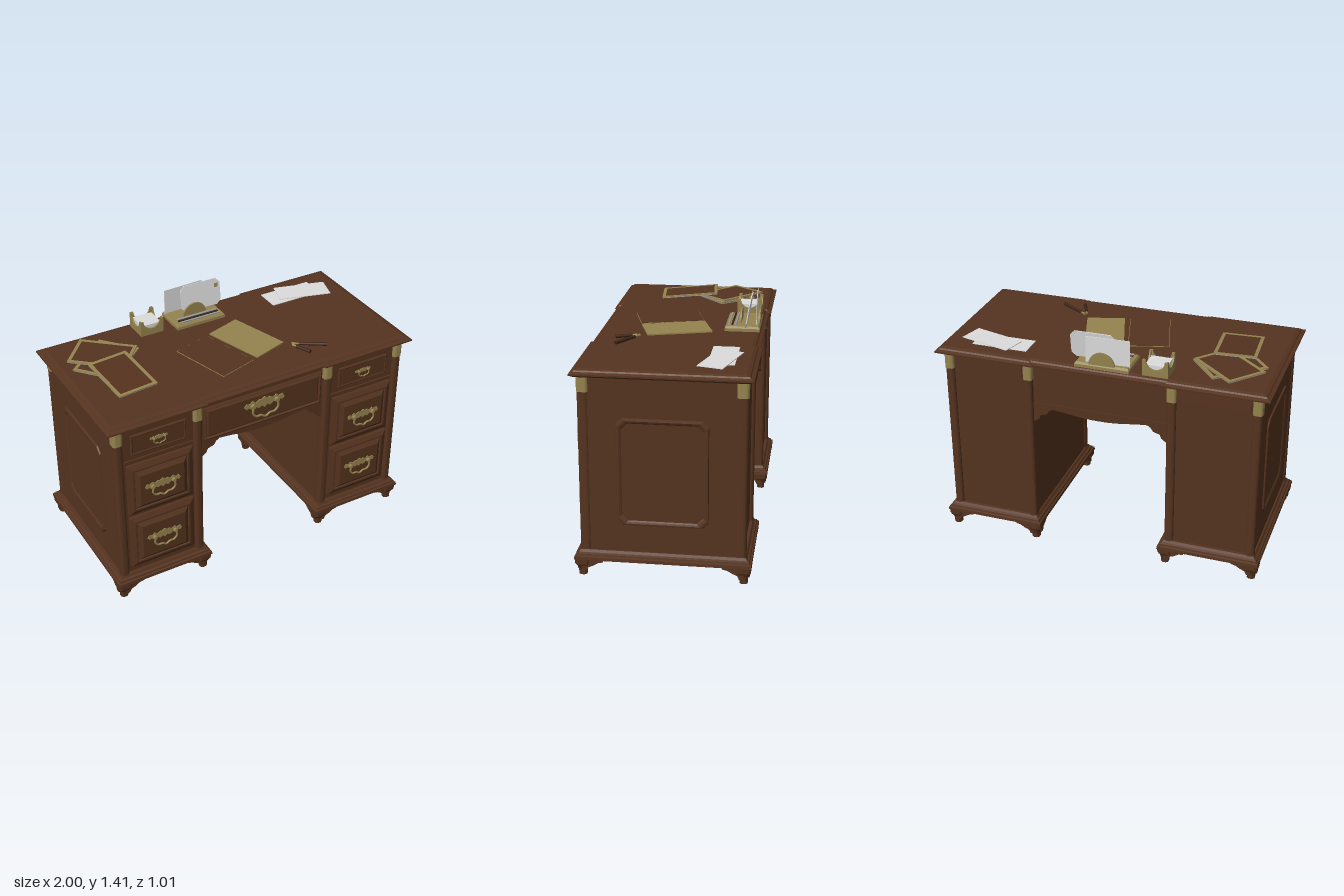
import * as THREE from 'three';

const mat = (name, color) => Object.assign(new THREE.MeshStandardMaterial({ color }), { name });

// Counter-clockwise rectangle in x/z, corners rounded by n steps (n = 1 chamfers), shrunk by d
const rect = (hx, hz, r = 0, n = 1) => d => {
  const pts = [];
  [[1, -1, -Math.PI / 2], [1, 1, 0], [-1, 1, Math.PI / 2], [-1, -1, Math.PI]].forEach(([sx, sz, a0]) => {
    const cx = sx * (hx - d - r), cz = sz * (hz - d - r);
    if (!r) { pts.push([cx, cz]); return; }
    for (let i = 0; i <= n; i++) {
      const a = a0 + (i / n) * Math.PI / 2;
      pts.push([cx + r * Math.cos(a), cz + r * Math.sin(a)]);
    }
  });
  return pts;
};

// Stacks an outline through levels of [height, inset] and closes both ends
function loft(outline, levels) {
  const rings = levels.map(([y, d]) => outline(d).map(([x, z]) => new THREE.Vector3(x, y, z)));
  const v = [], n = rings[0].length;
  for (let k = 0; k + 1 < rings.length; k++) {
    const a = rings[k], b = rings[k + 1];
    for (let i = 0; i < n; i++) {
      const j = (i + 1) % n;
      v.push(a[i], b[i], a[j], a[j], b[i], b[j]);
    }
  }
  const cap = (ring, flip) => {
    const flat = ring.map(p => new THREE.Vector2(p.x, p.z));
    for (const [a, b, c] of THREE.ShapeUtils.triangulateShape(flat, []))
      v.push(ring[a], ring[flip ? c : b], ring[flip ? b : c]);
  };
  cap(rings[0], false);
  cap(rings[rings.length - 1], true);
  const g = new THREE.BufferGeometry().setFromPoints(v);
  g.computeVertexNormals();
  return g;
}

const shapeOf = pts => new THREE.Shape(pts.map(p => new THREE.Vector2(p[0], p[1])));
const slab = (shape, depth) =>
  new THREE.ExtrudeGeometry(shape, { depth, bevelEnabled: false, curveSegments: 16 }).translate(0, 0, -depth / 2);
const box = (w, h, d) => new THREE.BoxGeometry(w, h, d);

export function createModel() {
  const wood = mat('walnut', 0x55331f);
  const darkWood = mat('dark walnut', 0x3d2416);
  const brass = mat('brass', 0x95834f);
  const paper = mat('paper', 0xdcdcdc);
  const grey = mat('grey card', 0x9a9da2);
  const root = new THREE.Group();
  root.name = 'desk';

  const add = (parent, name, geo, material, x = 0, y = 0, z = 0, ry = 0) => {
    const m = new THREE.Mesh(geo, material);
    m.name = name;
    m.position.set(x, y, z);
    m.rotation.y = ry;
    parent.add(m);
    return m;
  };
  const group = (parent, name, x = 0, y = 0, z = 0, ry = 0) => {
    const g = new THREE.Group();
    g.name = name;
    g.position.set(x, y, z);
    g.rotation.y = ry;
    parent.add(g);
    return g;
  };

  // Moulded top with slightly recessed middle
  const topOutline = d => {
    const X = 1 - d, S = 0.385 + d, A = 0.495 - d, B = 0.483 - d;
    return [[X, -A], [X, A], [S, A], [S, B], [-S, B], [-S, A], [-X, A], [-X, -A], [-S, -A], [-S, -B], [S, -B], [S, -A]];
  };
  add(root, 'top', loft(topOutline, [[1.17, 0.025], [1.182, 0.004], [1.184, 0], [1.193, 0], [1.2, 0.02], [1.208, 0.026], [1.215, 0.045]]), wood);

  // Drop handle: winged plate, two posts and a hanging bail
  function handle(parent, x, y, z, s) {
    const g = group(parent, 'handle', x, y, z);
    g.scale.set(s, s, Math.min(1, s + 0.3));
    const half = [[0, 0.05], [0.018, 0.038], [0.03, 0.042], [0.048, 0.03], [0.065, 0.044], [0.08, 0.03], [0.1, 0.036],
      [0.112, 0.018], [0.1, 0.004], [0.086, 0.01], [0.07, -0.004], [0.05, 0.008], [0.03, -0.006], [0.015, 0.004], [0, -0.01]];
    const wing = half.concat(half.slice(1, -1).reverse().map(([a, b]) => [-a, b]));
    add(g, 'handlePlate', slab(shapeOf(wing), 0.006), brass, 0, 0, 0.002);
    for (const sx of [-1, 1])
      add(g, 'handlePost', new THREE.CylinderGeometry(0.012, 0.014, 0.02, 10).rotateX(Math.PI / 2), brass, sx * 0.066, 0.016, 0.01);
    const bail = new THREE.CatmullRomCurve3([[-0.066, 0.016], [-0.07, -0.02], [-0.05, -0.042], [-0.025, -0.042], [0, -0.056],
      [0.025, -0.042], [0.05, -0.042], [0.07, -0.02], [0.066, 0.016]].map(p => new THREE.Vector3(p[0], p[1], 0.016)));
    add(g, 'handleBail', new THREE.TubeGeometry(bail, 32, 0.006, 6), brass);
  }

  // Raised drawer front
  const drawer = (parent, name, w, h, x, y, z, levels) =>
    add(parent, name, loft(rect(w / 2, h / 2), levels).rotateX(Math.PI / 2), wood, x, y, z);
  const fielded = [[0, 0], [0.02, 0], [0.034, 0.028], [0.034, 0.038], [0.027, 0.042], [0.045, 0.068]];
  const flush = [[0, 0], [0.012, 0], [0.016, 0.006], [0.012, 0.012]];

  // Pedestals
  for (const s of [-1, 1]) {
    const p = group(root, s > 0 ? 'leftPedestal' : 'rightPedestal', s * 0.68);
    add(p, 'carcass', box(0.53, 1.05, 0.89), wood, 0, 0.65, 0);
    add(p, 'baseMoulding', loft(rect(0.308, 0.497), [[0.1, 0], [0.118, 0.002], [0.122, 0.012], [0.132, 0.014], [0.138, 0.026], [0.152, 0.034]]), wood);
    add(p, 'backFrieze', box(0.42, 0.085, 0.008), wood, 0, 1.13, -0.448);

    // Rounded corner posts, brass caps and bracket feet
    for (const sx of [-1, 1]) for (const sz of [-1, 1]) {
      add(p, 'cornerPost', loft(rect(0.027, 0.031, 0.02, 4), [[0.14, 0], [1.175, 0]]), wood, sx * 0.246, 0, sz * 0.434);
      add(p, 'cornerCap', loft(rect(0.029, 0.033, 0.018, 4), [[1.08, 0], [1.178, 0]]), brass, sx * 0.247, 0, sz * 0.434);
      add(p, 'foot', loft(rect(0.043, 0.043, 0.012, 1), [[0, 0.02], [0.02, 0.02], [0.045, 0.016], [0.07, 0.002], [0.102, 0]]), wood, sx * 0.264, 0, sz * 0.453);
      const wing = dir => slab(shapeOf([[0, 0.102], [0.125, 0.102], [0.118, 0.086], [0.09, 0.08], [0.06, 0.062], [0.035, 0.052], [0.025, 0.03], [0, 0.03]].map(([u, y]) => [dir * u, y])), 0.035);
      add(p, 'footBracket', wing(-sx), wood, sx * 0.264, 0, sz * 0.468);
      add(p, 'footBracket', wing(-sz).rotateY(-Math.PI / 2), wood, sx * 0.28, 0, sz * 0.453);
    }

    // Drawers
    drawer(p, 'topDrawer', 0.34, 0.13, 0, 1.05, 0.442, flush);
    handle(p, 0, 1.05, 0.456, 0.5);
    drawer(p, 'middleDrawer', 0.41, 0.34, 0, 0.75, 0.442, fielded);
    handle(p, 0, 0.745, 0.487, 1);
    drawer(p, 'bottomDrawer', 0.41, 0.36, 0, 0.375, 0.442, fielded);
    handle(p, 0, 0.375, 0.487, 1);
    add(p, 'drawerRail', box(0.43, 0.012, 0.016), wood, 0, 0.945, 0.446);

    // Chamfered side panel with a raised border
    add(p, 'sidePanel', loft(rect(0.315, 0.255, 0.035, 1), [[0, 0], [0.01, 0.004], [0.012, 0.014], [0.008, 0.024], [0.003, 0.03]]).rotateZ(-s * Math.PI / 2), wood, s * 0.264, 0.625, 0);
  }

  // Centre section
  add(root, 'centreCarcass', box(0.84, 0.255, 0.87), wood, 0, 1.05, 0);
  drawer(root, 'centreDrawer', 0.78, 0.215, 0, 1.025, 0.432, [[0, 0], [0.016, 0], [0.02, 0.008], [0.01, 0.016], [0.018, 0.026]]);
  handle(root, 0, 1.035, 0.452, 1.2);

  // Shaped aprons, front and back
  const apron = new THREE.Shape();
  apron.moveTo(-0.42, 0.93);
  for (const [x, y] of [[-0.42, 0.79], [-0.41, 0.8], [-0.375, 0.825], [-0.365, 0.85], [-0.325, 0.862], [-0.31, 0.885], [-0.29, 0.898]]) apron.lineTo(x, y);
  apron.bezierCurveTo(-0.17, 0.89, -0.14, 0.872, 0, 0.872);
  apron.bezierCurveTo(0.14, 0.872, 0.17, 0.89, 0.29, 0.898);
  for (const [x, y] of [[0.31, 0.885], [0.325, 0.862], [0.365, 0.85], [0.375, 0.825], [0.41, 0.8], [0.42, 0.79], [0.42, 0.93]]) apron.lineTo(x, y);
  for (const sz of [-1, 1]) add(root, 'apron', slab(apron, 0.025), wood, 0, 0, sz * 0.428);

  // Loose sheets
  add(root, 'sheet', box(0.34, 0.004, 0.15), paper, 0.64, 1.218, -0.3);
  add(root, 'sheet', box(0.33, 0.004, 0.15), paper, 0.72, 1.222, -0.29, -0.27);

  // Brass-bordered folders, the last leaning on the others
  const border = (w, h, t) => {
    const s = shapeOf([[-w, -h], [w, -h], [w, h], [-w, h]]);
    s.holes.push(new THREE.Path([[-w + t, -h + t], [-w + t, h - t], [w - t, h - t], [w - t, -h + t]].map(p => new THREE.Vector2(...p))));
    return slab(s, 0.006).rotateX(-Math.PI / 2);
  };
  for (const [x, y, z, w, h, ry, rx] of [[-0.695, 1.222, -0.165, 0.26, 0.35, -0.87, 0],
    [-0.7, 1.234, -0.21, 0.35, 0.25, -0.716, 0], [-0.695, 1.242, 0.05, 0.25, 0.355, 0.087, 0.085]]) {
    const f = group(root, 'folder', x, y, z, ry);
    f.rotation.x = rx;
    add(f, 'folderBack', box(w - 0.004, 0.004, h - 0.004), grey, 0, -0.004, 0);
    add(f, 'folderCover', box(w - 0.01, 0.006, h - 0.01), wood);
    add(f, 'folderBorder', border(w / 2, h / 2, 0.02), brass, 0, 0.002, 0);
  }

  // Open notebook
  add(root, 'notebookEdge', box(0.245, 0.003, 0.385), brass, -0.13, 1.2165, 0.105, 0.28);
  add(root, 'notebookCover', box(0.239, 0.004, 0.379), wood, -0.13, 1.218, 0.105, 0.28);
  add(root, 'notebookPage', box(0.23, 0.008, 0.385), brass, 0.125, 1.219, 0.03, 0.306);

  // Pens
  for (const [x, z, len, ry] of [[0.41, 0.275, 0.22, -0.56], [0.345, 0.295, 0.13, -1.15]]) {
    const pen = group(root, 'pen', x, 1.226, z, ry);
    add(pen, 'penBarrel', new THREE.CylinderGeometry(0.009, 0.011, len * 0.75, 10).rotateZ(Math.PI / 2), darkWood, len * 0.1, 0, 0);
    add(pen, 'penTip', new THREE.CylinderGeometry(0.009, 0.003, len * 0.2, 10).rotateZ(Math.PI / 2), brass, -len * 0.37, 0, 0);
  }

  // Note box with scooped walls
  const notes = group(root, 'noteBox', -0.333, 1.215, -0.37);
  const wall = shapeOf([[-0.075, 0], [0.075, 0], [0.075, 0.095], [0.058, 0.095]]);
  wall.absarc(0, 0.095, 0.055, 0, -Math.PI, true);
  wall.lineTo(-0.075, 0.095);
  add(notes, 'noteBoxFloor', box(0.15, 0.03, 0.15), brass, 0, 0.015, 0);
  for (const s of [-1, 1]) {
    add(notes, 'noteBoxWall', slab(wall, 0.01), brass, 0, 0, s * 0.07);
    add(notes, 'noteBoxWall', slab(wall, 0.01).rotateY(Math.PI / 2), brass, s * 0.07, 0, 0);
  }
  add(notes, 'notePaper', box(0.125, 0.035, 0.125), paper, 0, 0.045, 0);

  // Letter rack
  const rack = group(root, 'letterRack', -0.022, 1.215, -0.357);
  add(rack, 'rackBase', loft(rect(0.162, 0.103), [[0, 0], [0.018, 0], [0.03, 0.008]]), brass);
  const arch = new THREE.Shape();
  arch.absarc(0, 0, 0.078, 0, Math.PI, false);
  arch.closePath();
  for (const z of [0.015, -0.095]) add(rack, 'rackArch', slab(arch, 0.01), brass, 0, 0.025, z);
  add(rack, 'envelope', box(0.26, 0.165, 0.004), paper, -0.03, 0.105, -0.075, 0.04);
  const letter = group(rack, 'letter', 0.07, 0.112, -0.035);
  letter.rotation.x = -0.15;
  add(letter, 'letterSheet', loft(rect(0.135, 0.085, 0.028, 1), [[-0.003, 0], [0.003, 0]]).rotateX(Math.PI / 2), paper);
  add(letter, 'letterSeal', box(0.022, 0.025, 0.002), brass, 0.108, 0.04, 0.004);
  for (const [z, m] of [[0.04, grey], [0.06, darkWood], [0.08, grey]])
    add(rack, 'rackPen', new THREE.CylinderGeometry(0.006, 0.006, 0.27, 8).rotateZ(Math.PI / 2), m, 0, 0.034, z);

  return root;
}
